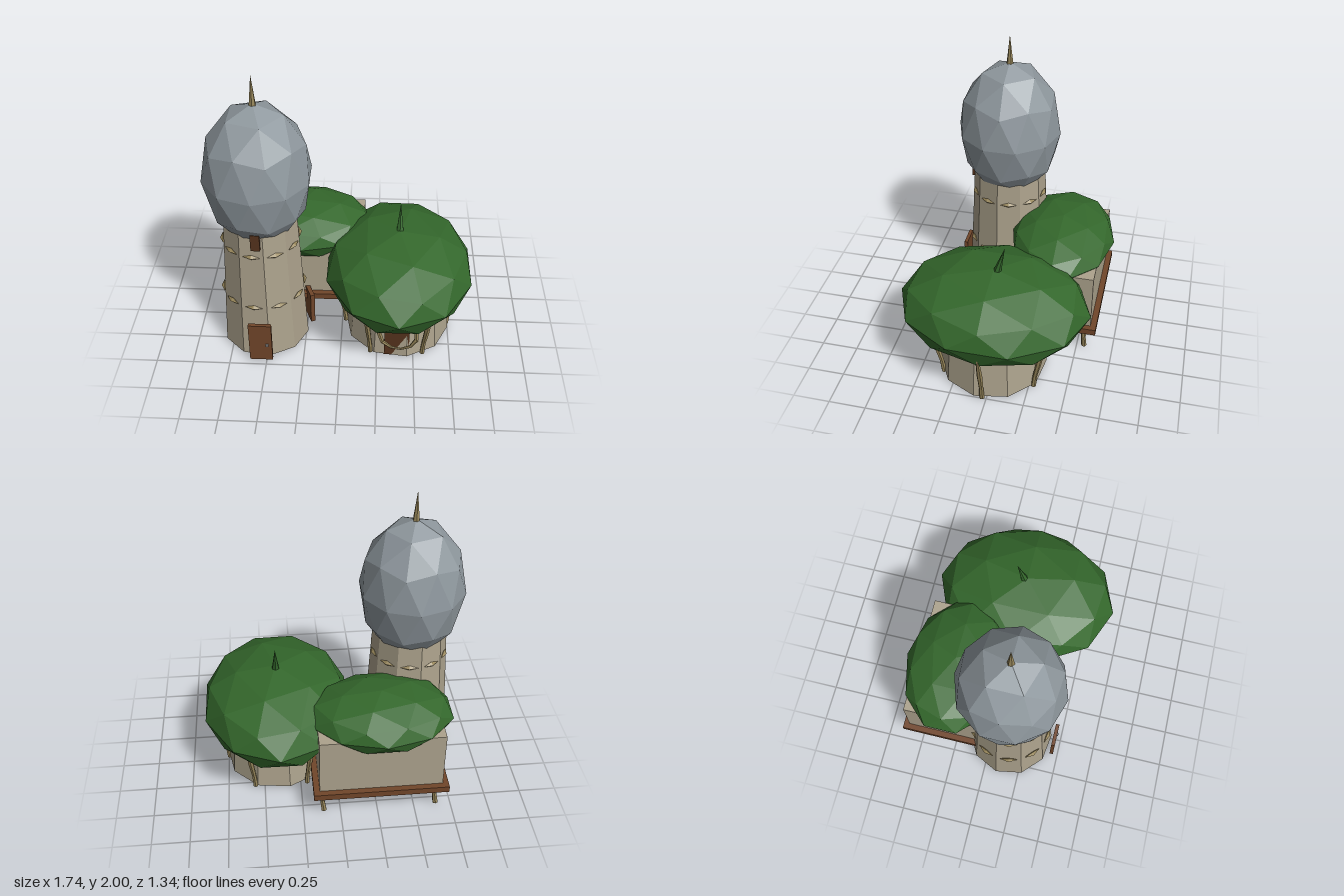
import * as THREE from 'three';

const mat = (name, color) => {
  const m = new THREE.MeshStandardMaterial({ color, flatShading: true });
  m.name = name;
  return m;
};

export function createModel() {
  const stone = mat('stone', 0xada38d);
  const silver = mat('silverRoof', 0x8f989e);
  const leaf = mat('leafGreen', 0x34682c);
  const wood = mat('wood', 0x71462a);
  const darkWood = mat('darkWood', 0x55331d);
  const branch = mat('branch', 0x97865a);
  const metal = mat('metal', 0x8f8f8f);

  const root = new THREE.Group();
  root.name = 'village';

  const add = (name, geo, material, x, y, z, parent = root) => {
    const m = new THREE.Mesh(geo, material);
    m.name = name;
    m.position.set(x, y, z);
    parent.add(m);
    return m;
  };

  const box = (name, material, w, h, d, x, y, z, parent) =>
    add(name, new THREE.BoxGeometry(w, h, d), material, x, y, z, parent);

  // Faceted dome with a corner pointing straight up
  const dome = (name, material, x, y, z, rx, ry, rz) => {
    const g = new THREE.IcosahedronGeometry(1, 1);
    g.rotateZ(-Math.atan2(2, 1 + Math.sqrt(5)));
    g.scale(rx, ry, rz);
    g.computeVertexNormals();
    return add(name, g, material, x, y, z);
  };

  // Ten-sided tapering wall
  const PHASE = 0.18;
  const roundWall = (name, x, z, rBottom, rTop, y0, y1) =>
    add(name, new THREE.CylinderGeometry(rTop, rBottom, y1 - y0, 10, 1, false, PHASE),
      stone, x, (y0 + y1) / 2, z);

  // Crooked limb: a chain of tapered segments, each point is [x, y, z, radius]
  const limb = (name, points) => {
    const group = new THREE.Group();
    group.name = name;
    for (let i = 0; i < points.length - 1; i++) {
      const a = new THREE.Vector3(...points[i].slice(0, 3));
      const b = new THREE.Vector3(...points[i + 1].slice(0, 3));
      const dir = b.clone().sub(a);
      const mid = a.clone().add(b).multiplyScalar(0.5);
      const seg = add(name + 'Segment',
        new THREE.CylinderGeometry(points[i + 1][3], points[i][3], dir.length(), 6),
        branch, mid.x, mid.y, mid.z, group);
      seg.quaternion.setFromUnitVectors(new THREE.Vector3(0, 1, 0), dir.normalize());
    }
    root.add(group);
    return group;
  };

  // Tower
  const TX = -0.535, TZ = 0.13;
  roundWall('towerWall', TX, TZ, 0.302, 0.25, 0.01, 1.0);
  dome('towerDome', silver, TX, 1.31, TZ, 0.355, 0.5, 0.355);
  add('towerSpike', new THREE.ConeGeometry(0.025, 0.22, 6), branch, TX, 1.89, TZ);

  // Diamond studs, one per wall face in two rings
  for (const [y, r] of [[0.42, 0.272], [0.83, 0.25]]) {
    for (let i = 0; i < 10; i++) {
      const a = PHASE + (i + 0.5) * Math.PI / 5;
      const g = new THREE.OctahedronGeometry(1);
      g.scale(0.06, 0.019, 0.02);
      const stud = add('towerStud', g, branch, TX + Math.sin(a) * r, y, TZ + Math.cos(a) * r);
      stud.rotation.y = a;
    }
  }

  // Tower doors and window
  box('towerDoor', wood, 0.155, 0.305, 0.025, TX, 0.163, 0.455);
  box('towerDoorKnob', metal, 0.02, 0.02, 0.01, -0.49, 0.145, 0.471);
  box('towerWindow', darkWood, 0.06, 0.12, 0.04, TX, 0.96, 0.38);
  const sideDoor = new THREE.Group();
  sideDoor.name = 'towerSideDoor';
  sideDoor.position.set(-0.235, 0.133, 0.01);
  sideDoor.rotation.y = Math.PI / 2 + 0.38;
  root.add(sideDoor);
  box('sideDoorPanel', wood, 0.14, 0.245, 0.03, 0, 0, 0, sideDoor);
  box('sideDoorKnob', metal, 0.015, 0.015, 0.01, 0.045, -0.02, 0.017, sideDoor);

  // Round house
  const HX = 0.39, HZ = 0.035;
  roundWall('houseWall', HX, HZ, 0.365, 0.33, 0.01, 0.45);
  dome('houseCanopy', leaf, 0.385, 0.52, 0.025, 0.51, 0.288, 0.64);
  const sprout = add('houseSprout', new THREE.ConeGeometry(0.028, 0.21, 6), leaf, 0.385, 0.885, -0.02);
  sprout.rotation.x = -0.26;
  box('houseDoor', darkWood, 0.17, 0.265, 0.03, 0.385, 0.1425, 0.365);

  // Leaning poles around the round house
  for (let i = 0; i < 6; i++) {
    const a = i * Math.PI / 3;
    const at = (r, y, w) => [0.385 + Math.cos(a) * r, y, 0.03 + Math.sin(a) * r, w];
    limb('housePole', [at(0.358, 0, 0.018), at(0.37, 0.1, 0.015),
      at(0.4, 0.24, 0.019), at(0.43, 0.37, 0.014), at(0.455, 0.45, 0.003)]);
  }

  // Hanging loop over the house door
  limb('doorGarland', [
    [0.275, 0.36, 0.42, 0.018], [0.262, 0.26, 0.43, 0.017], [0.285, 0.19, 0.44, 0.014],
    [0.345, 0.145, 0.445, 0.009], [0.41, 0.13, 0.445, 0.007], [0.475, 0.155, 0.445, 0.01],
    [0.515, 0.215, 0.44, 0.015], [0.51, 0.28, 0.43, 0.017], [0.495, 0.36, 0.42, 0.018]]);

  // Raised square house on a deck
  box('deck', wood, 0.9, 0.045, 0.64, -0.27, 0.1925, -0.31);
  box('deckHouseWall', stone, 0.82, 0.41, 0.56, -0.27, 0.42, -0.31);
  dome('deckHouseCanopy', leaf, -0.29, 0.63, -0.31, 0.49, 0.18, 0.36);
  for (const x of [-0.65, 0.11]) {
    limb('deckLeg', [[x, 0, -0.55, 0.019], [x + 0.01, 0.08, -0.545, 0.016], [x, 0.18, -0.54, 0.021]]);
  }

  return root;
}
